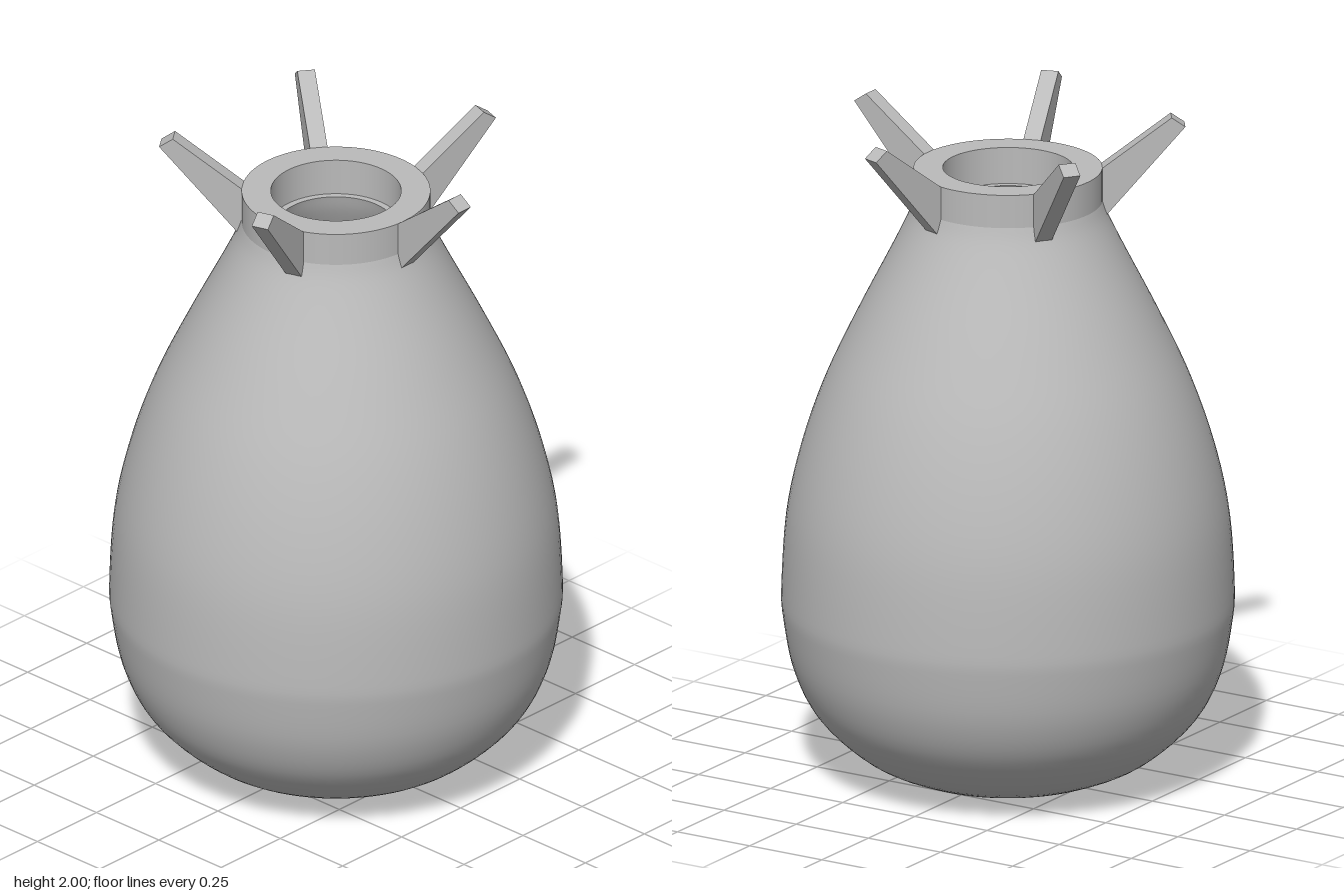
import * as THREE from 'three';

const SEGMENTS = 96;

export function createModel() {
  const group = new THREE.Group();
  group.name = 'vase';
  const clay = new THREE.MeshStandardMaterial({ color: 0xbababa });
  clay.name = 'grey clay';

  const toPoints = (list) => list.map(([r, y]) => new THREE.Vector2(r, y));
  const smooth = (list) => new THREE.SplineCurve(toPoints(list)).getPoints(60);
  const add = (name, geometry, parent = group) => {
    const mesh = new THREE.Mesh(geometry, clay);
    mesh.name = name;
    parent.add(mesh);
    return mesh;
  };
  const lathe = (name, points) => add(name, new THREE.LatheGeometry(points, SEGMENTS));

  // Pear-shaped body with a flat foot
  lathe('foot', toPoints([[0, 0], [0.23, 0]]));
  lathe('body', smooth([
    [0.23, 0], [0.32, 0.025], [0.44, 0.085], [0.56, 0.2], [0.625, 0.33], [0.655, 0.48],
    [0.66, 0.58], [0.645, 0.8], [0.602, 1.0], [0.534, 1.2], [0.442, 1.4],
    [0.341, 1.6], [0.293, 1.7], [0.275, 1.75],
  ]));

  // Hollow inside, running from the neck opening down to the floor
  lathe('bodyInside', smooth([
    [0.17, 1.74], [0.19, 1.68], [0.24, 1.58], [0.34, 1.4], [0.432, 1.2], [0.502, 1.0],
    [0.545, 0.8], [0.56, 0.58], [0.535, 0.35], [0.45, 0.2], [0.33, 0.12], [0.23, 0.1],
  ]));
  lathe('insideFloor', toPoints([[0.23, 0.1], [0, 0.1]]));

  // Collar: separate lathes keep the rim edges sharp
  lathe('collarOutside', toPoints([[0.275, 1.75], [0.275, 1.85]]));
  lathe('collarRim', toPoints([[0.275, 1.85], [0.19, 1.85]]));
  lathe('collarInside', toPoints([[0.19, 1.85], [0.19, 1.74]]));
  lathe('collarLedge', toPoints([[0.19, 1.74], [0.17, 1.74]]));

  // Five slanted fins around the collar
  const width = 0.052;
  const finShape = new THREE.Shape(toPoints([
    [0.255, 1.71], [0.28, 1.7], [0.516, 1.972], [0.476, 2], [0.274, 1.85], [0.255, 1.85],
  ]));
  const finGeometry = new THREE.ExtrudeGeometry(finShape, { depth: width, bevelEnabled: false });
  finGeometry.translate(0, 0, -width / 2);
  for (let i = 0; i < 5; i++) {
    add(`fin${i + 1}`, finGeometry).rotation.y = (i * Math.PI * 2) / 5;
  }

  return group;
}
